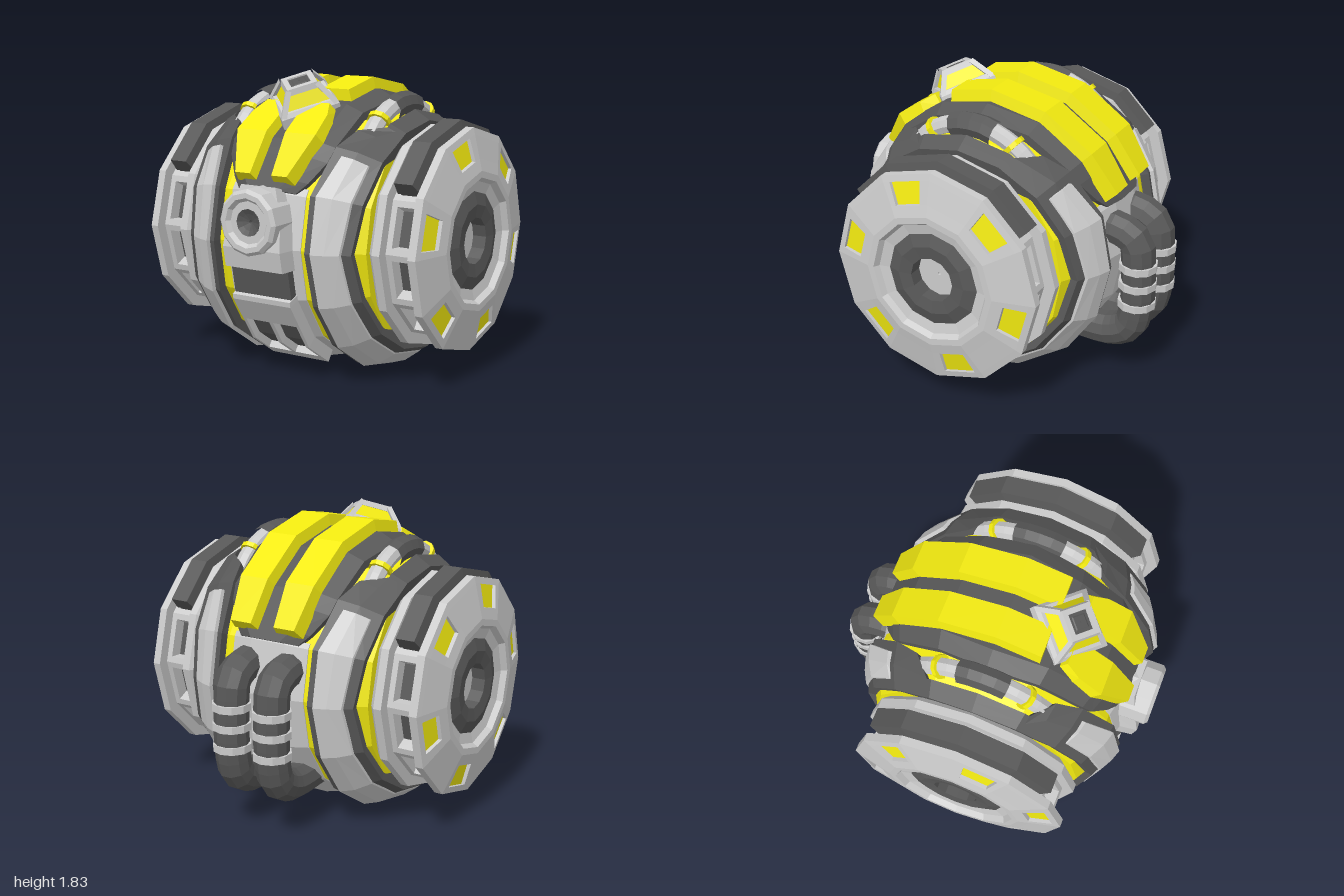
import * as THREE from 'three';

const mat = (color) => new THREE.MeshStandardMaterial({ color, flatShading: true });
const light = mat(0xcccccc), dark = mat(0x585858), yellow = mat(0xf2ea10);
const RAD = Math.PI / 180;

// Corner radius factor that keeps intermediate angles on the flat of an n-sided polygon
const chord = (deg, n) => {
  const step = 360 / n, m = ((deg % step) + step) % step;
  return Math.cos(Math.PI / n) / Math.cos((m - step / 2) * RAD);
};

// Sweeps [x, r, angleOffset] loops about the x axis (0 deg = front, 90 = up)
function loft(stations, { sides = 16, closed = false, s = 1 } = {}) {
  const rows = stations.map(([deg, loop]) => loop.map(([x, r, d = 0]) => {
    const a = deg + d, k = r * chord(a, sides);
    return new THREE.Vector3(x * s, k * Math.sin(a * RAD), k * Math.cos(a * RAD));
  }));
  const n = rows[0].length, tris = [];
  const count = closed ? rows.length : rows.length - 1;
  for (let i = 0; i < count; i++) {
    const A = rows[i], B = rows[(i + 1) % rows.length];
    for (let j = 0; j < n; j++) {
      const k = (j + 1) % n;
      tris.push([A[j], B[j], B[k]], [A[j], B[k], A[k]]);
    }
  }
  if (!closed) {
    const cap = (index, flip) => {
      const pts = stations[index][1].map(([x, r]) => new THREE.Vector2(x, r));
      const ccw = !THREE.ShapeUtils.isClockWise(pts);
      for (const [a, b, c] of THREE.ShapeUtils.triangulateShape(pts.slice(), [])) {
        const R = rows[index];
        // wall direction follows the loop, so the cap depends on the loop's turn
        const area = (pts[b].x - pts[a].x) * (pts[c].y - pts[a].y) - (pts[b].y - pts[a].y) * (pts[c].x - pts[a].x);
        const same = (area > 0) === ccw;
        tris.push(same !== flip ? [R[a], R[b], R[c]] : [R[a], R[c], R[b]]);
      }
    };
    cap(0, false);
    cap(rows.length - 1, true);
  }
  // turn the solid right side out
  const volume = tris.reduce((v, [a, b, c]) => v + a.dot(b.clone().cross(c)), 0);
  const pts = tris.flatMap(([a, b, c]) => (volume < 0 ? [a, c, b] : [a, b, c]));
  const g = new THREE.BufferGeometry().setFromPoints(pts);
  g.computeVertexNormals();
  return g;
}

const ring = (profile, sides, s = 1) =>
  loft(Array.from({ length: sides }, (_, i) => [i * 360 / sides, profile]), { sides, closed: true, s });

// Bevelled plate from [angle, x0, x1] rows, rising from radius r0 to r1
function plate(rows, r0, r1, bevel = 0.02, opts = {}) {
  return loft(rows.map(([a, x0, x1], i) => {
    const d = (i === 0 ? 1 : i === rows.length - 1 ? -1 : 0) * Math.sign(rows[1][0] - rows[0][0]) * bevel * 80;
    return [a, [[x0, r0], [x0 + bevel, r1, d], [x1 - bevel, r1, d], [x1, r0]]];
  }), opts);
}

function add(parent, name, geometry, material) {
  const mesh = new THREE.Mesh(geometry, material);
  mesh.name = name;
  parent.add(mesh);
  return mesh;
}

const steps = (from, to, step) => Array.from({ length: Math.round((to - from) / step) + 1 }, (_, i) => from + i * step);

function buildWheel(s) {
  const g = new THREE.Group();
  g.name = s > 0 ? 'leftWheel' : 'rightWheel';
  const o = { sides: 12, s };
  add(g, 'wheelDrum', ring([[0.5, 0.1], [0.5, 0.6], [0.6, 0.6], [0.66, 0.67], [0.71, 0.67], [0.71, 0.5], [0.89, 0.5],
    [0.89, 0.67], [0.94, 0.67], [0.95, 0.63], [0.92, 0.63], [0.953, 0.49], [0.983, 0.49], [1, 0.42], [1, 0.38],
    [0.965, 0.36], [0.95, 0.29], [0.86, 0.29], [0.86, 0.1]], 12, s), light);
  add(g, 'hubRing', ring([[0.85, 0.3], [0.95, 0.3], [0.975, 0.22], [0.965, 0.14], [0.85, 0.14]], 12, s), dark);
  add(g, 'hubFloor', ring([[0.8, 0.01], [0.8, 0.15], [0.88, 0.15], [0.88, 0.01]], 12, s), light);
  add(g, 'grooveFloor', ring([[0.7, 0.45], [0.7, 0.52], [0.9, 0.52], [0.9, 0.45]], 12, s), dark);

  // Face spokes leave six recessed windows
  for (let k = 0; k < 6; k++) {
    const a = k * 60;
    const spoke = [[0.92, 0.63], [0.95, 0.63], [0.983, 0.49], [0.953, 0.49]];
    add(g, 'faceSpoke', loft([24, 30, 60, 64].map((d) => [a + d, spoke]), o), light);
    const pane = [[0.915, 0.635], [0.927, 0.635], [0.96, 0.485], [0.948, 0.485]];
    add(g, 'faceWindow', loft([[a + 3.5, pane], [a + 24.5, pane]], o), yellow);
  }
  // Groove frame: two rails and crossbars
  for (const [x0, x1] of [[0.7, 0.745], [0.855, 0.9]])
    add(g, 'grooveRail', ring([[x0, 0.5], [x0, 0.6], [x1, 0.6], [x1, 0.5]], 12, s), light);
  for (let a = -210; a <= 30; a += 30)
    add(g, 'grooveBar', plate([[a - 3.5, 0.72, 0.88], [a, 0.72, 0.88], [a + 3.5, 0.72, 0.88]], 0.5, 0.6, 0, o), light);
  add(g, 'treadGuard', plate([33, 60, 90, 120, 147].map((a) => [a, 0.712, 0.89]), 0.54, 0.71, 0.03, o), dark);
  return g;
}

// Side shell surface and edges
const shellR = (x) => (x < 0.5 ? 0.83 - (x - 0.34) * 0.3 : 0.782 - (x - 0.5) * 0.6);
const outerX = (a) => 0.57 + 0.08 * Math.abs(Math.sin(a * RAD));
function innerX(a) {
  const up = Math.abs(a - 90);
  if (up < 26) return 0.55;
  if (up < 35) return 0.42;
  if (up < 50) return 0.37;
  return 0.32 + 0.035 * Math.max(0, -Math.sin(a * RAD));
}

function buildShell(s) {
  const g = new THREE.Group();
  g.name = s > 0 ? 'leftShell' : 'rightShell';
  const angles = [...steps(-90, 247.5, 22.5), 57, 65, 115, 123].sort((a, b) => a - b);
  add(g, 'sideShell', loft(angles.map((a) => {
    const i = innerX(a), o = outerX(a), m = (i + o) / 2;
    return [a, [[i, 0.6], [i, shellR(i)], [m, shellR(m)], [o, shellR(o)], [o - 0.02, 0.6]]];
  }), { closed: true, s }), dark);
  add(g, 'shellPanel', loft([-223, ...steps(-202.5, 22.5, 22.5), 43].map((a) => {
    const end = a === 43 || a === -223, d = end ? (a > 0 ? -2 : 2) : 0;
    const i = (end ? 0.385 : innerX(a)) + 0.025, o = outerX(a) - 0.035, m = (i + o) / 2;
    return [a, [[i, shellR(i) - 0.06], [i + 0.02, shellR(i) + 0.02, d], [m, shellR(m) + 0.022, d],
      [o - 0.02, shellR(o) + 0.02, d], [o, shellR(o) - 0.06]]];
  }), { s }), light);

  // Yellow armour plates on the crown
  add(g, 'frontCrownPlate', plate([[26, 0.055, 0.2], [45, 0.045, 0.295], [56, 0.04, 0.28], [64, 0.04, 0.24]], 0.84, 0.92, 0.02, { s }), yellow);
  add(g, 'rearCrownPlate', plate([[71, 0.045, 0.28], [90, 0.045, 0.28], [112.5, 0.045, 0.28], [135, 0.045, 0.275], [154, 0.06, 0.24]], 0.84, 0.93, 0.02, { s }), yellow);
  return g;
}

function tube(points, radius, seg, radial = 10) {
  const curve = new THREE.CatmullRomCurve3(points.map((p) => new THREE.Vector3(...p)));
  return new THREE.TubeGeometry(curve, seg, radius, radial);
}

function buildFrontFace() {
  const g = new THREE.Group();
  g.name = 'frontFace';
  add(g, 'upperFacePlate', plate([[25, -0.14, 0.14], [12, -0.2, 0.2], [0, -0.22, 0.22], [-9.5, -0.22, 0.22]], 0.74, 0.905, 0.02), light);
  add(g, 'slot', plate([[-8, -0.2, 0.2], [-22, -0.2, 0.2]], 0.74, 0.85, 0), dark);
  const bar = (a0, a1, x0, x1) => add(g, 'lowerFaceFrame', plate(
    [a0, ...[-22.5, -45].filter((a) => a < a0 && a > a1), a1].map((a) => [a, x0, x1]), 0.74, 0.875, 0.006), light);
  bar(-20, -34, -0.21, 0.21);
  bar(-55, -62, -0.21, 0.21);
  for (const [x0, x1] of [[-0.21, -0.175], [-0.02, 0.02], [0.175, 0.21]]) bar(-33, -56, x0, x1);
  add(g, 'lowerWindows', plate([[-32, -0.19, 0.19], [-45, -0.19, 0.19], [-58, -0.19, 0.19]], 0.74, 0.83, 0), dark);

  // Round lens on the face
  const lens = new THREE.Group();
  lens.name = 'lens';
  lens.rotation.y = -Math.PI / 2;
  lens.position.set(0, 0.16, 0);
  add(lens, 'lensBarrel', ring([[0.7, 0.07], [0.7, 0.195], [0.93, 0.195], [0.95, 0.175], [0.95, 0.145], [0.925, 0.125], [0.925, 0.07]], 12), light);
  add(lens, 'lensPupil', ring([[0.8, 0.01], [0.8, 0.08], [0.93, 0.08], [0.915, 0.05], [0.9, 0.01]], 12), dark);
  g.add(lens);
  return g;
}

function buildSensor() {
  const g = new THREE.Group();
  g.name = 'sensor';
  g.position.set(0, 0.88 * Math.sin(66 * RAD), 0.88 * Math.cos(66 * RAD));
  g.rotation.x = 24 * RAD;
  const square = (name, profile, material) => { add(g, name, ring(profile, 4), material).rotation.z = Math.PI / 2; };
  square('sensorSides', [[-0.06, 0.05], [-0.06, 0.24], [0, 0.215], [0.125, 0.115], [0.125, 0.05]], yellow);
  square('sensorBase', [[-0.06, 0.15], [-0.06, 0.25], [0.0, 0.25], [0.025, 0.225], [0.025, 0.15]], light);
  square('sensorRim', [[0.1, 0.08], [0.1, 0.145], [0.135, 0.13], [0.135, 0.085]], light);
  square('sensorWell', [[0.05, 0.005], [0.05, 0.1], [0.126, 0.1], [0.126, 0.06], [0.13, 0.05], [0.13, 0.005]], dark);
  for (let k = 0; k < 4; k++) {
    const a = k * Math.PI / 2, at = (r, y) => [r * Math.sin(a), y, r * Math.cos(a)];
    add(g, 'sensorEdge', tube([at(0.23, 0), at(0.125, 0.125)], 0.022, 1, 4), light);
  }
  return g;
}

export function createModel() {
  const root = new THREE.Group();
  root.name = 'model';
  const body = new THREE.Group();
  body.name = 'body';
  body.position.set(0, 0.85, 0.05);
  root.add(body);

  add(body, 'core', ring([[-0.62, 0.1], [-0.62, 0.66], [-0.5, 0.73], [-0.3, 0.78], [0.3, 0.78], [0.5, 0.73], [0.62, 0.66], [0.62, 0.1]], 16), yellow);
  add(body, 'belly', loft([-205, ...steps(-202.5, 22.5, 22.5), 26].map((a) =>
    [a, [[-0.26, 0.7], [-0.26, 0.785], [-0.12, 0.82], [0.12, 0.82], [0.26, 0.785], [0.26, 0.7]]])), light);

  // Dark crown arching over the top
  const crown = [[23, 0.2], [28, 0.26], [38, 0.34], [45, 0.36], [67.5, 0.38], [90, 0.41]];
  const arch = [...crown, ...crown.slice(0, -1).reverse().map(([a, w]) => [180 - a, w])];
  add(body, 'crown', loft(arch.map(([a, w]) =>
    [a, [[-w, 0.7], [-w, 0.81], [0.1 - w, 0.86], [w - 0.1, 0.86], [w, 0.81], [w, 0.7]]])), dark);

  body.add(buildFrontFace(), buildSensor());
  for (const s of [1, -1]) {
    body.add(buildWheel(s), buildShell(s));

    // Small pipe lying in the shell opening
    const x = 0.46 * s;
    add(root, 'topPipe', tube([[x, 1.42, 0.46], [x, 1.55, 0.32], [x, 1.62, 0.16], [x, 1.63, 0.05], [x, 1.62, -0.06], [x, 1.55, -0.22], [x, 1.42, -0.36]], 0.055, 14, 8), light);
    add(root, 'topPipeElbow', tube([[x, 1.605, 0.19], [x, 1.625, 0.12], [x, 1.63, 0.05], [x, 1.625, -0.02], [x, 1.605, -0.09]], 0.075, 4, 8), dark);
    for (const [z, tilt] of [[0.31, 1], [-0.21, -1]]) {
      const collar = add(root, 'topPipeCollar', new THREE.CylinderGeometry(0.072, 0.072, 0.03, 10), yellow);
      collar.position.set(x, 1.555, z);
      collar.rotation.x = -tilt * 48 * RAD;
    }

    // Large exhaust pipe at the back with three clamps
    const px = 0.142 * s;
    add(root, 'backPipe', tube([[px, 1.01, -0.6], [px, 1.01, -0.76], [px, 0.95, -0.86], [px, 0.8, -0.88], [px, 0.52, -0.88], [px, 0.38, -0.84], [px, 0.315, -0.72], [px, 0.315, -0.45]], 0.105, 20), dark);
    for (const y of [0.8, 0.68, 0.55]) {
      add(root, 'backPipeClamp', new THREE.CylinderGeometry(0.118, 0.118, 0.045, 10), light).position.set(px, y, -0.88);
    }
  }
  return root;
}
